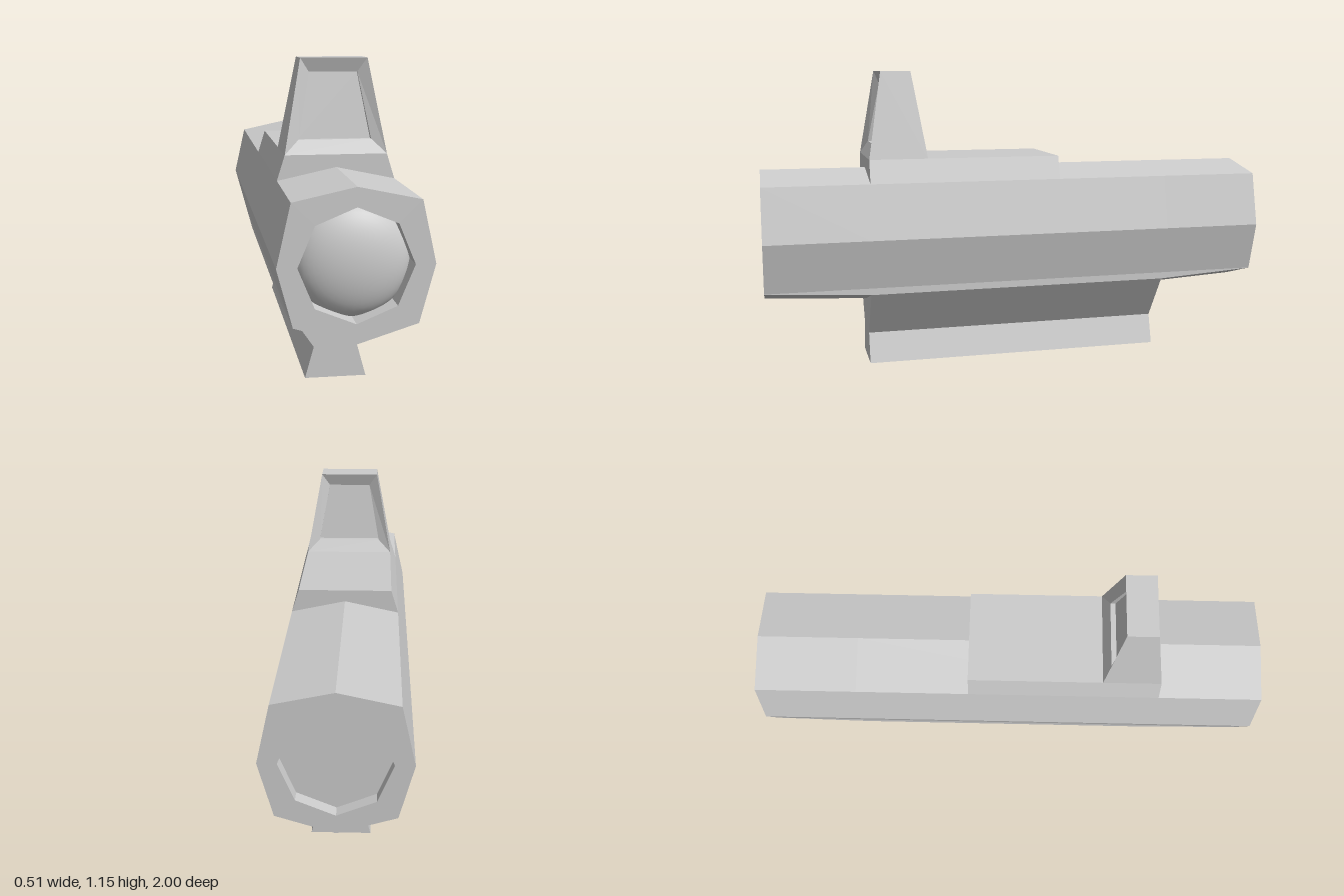
import * as THREE from 'three';

const grey = new THREE.MeshStandardMaterial({ color: 0xcccccc, flatShading: true });
const greyDouble = new THREE.MeshStandardMaterial({ color: 0xcccccc, flatShading: true, side: THREE.DoubleSide });
const greySmooth = new THREE.MeshStandardMaterial({ color: 0xcccccc });

const AXIS_Y = 0.52; // height of the tube's axis
const BORE = 0.19;   // radius of the octagonal end recesses

function part(group, name, geometry, material = grey) {
  const mesh = new THREE.Mesh(geometry, material);
  mesh.name = name;
  group.add(mesh);
  return mesh;
}

// Skins rings of points (counter-clockwise seen from +z), optionally capping both ends.
function loft(rings, capped) {
  const pos = [];
  const tri = (a, b, c) => pos.push(...a, ...b, ...c);
  const n = rings[0].length;
  for (let i = 0; i < rings.length - 1; i++) {
    for (let j = 0; j < n; j++) {
      const k = (j + 1) % n;
      const a = rings[i][j], b = rings[i][k], c = rings[i + 1][k], d = rings[i + 1][j];
      tri(a, b, c);
      tri(a, c, d);
    }
  }
  if (capped) {
    const first = rings[0], last = rings[rings.length - 1];
    for (let j = 1; j < n - 1; j++) {
      tri(first[0], first[j + 1], first[j]);
      tri(last[0], last[j], last[j + 1]);
    }
  }
  const g = new THREE.BufferGeometry();
  g.setAttribute('position', new THREE.Float32BufferAttribute(pos, 3));
  g.computeVertexNormals();
  return g;
}

// Mirrored outline from its right half, listed bottom to top.
function mirrored(half) {
  const left = half.filter(([x]) => x > 0).reverse().map(([x, y]) => [-x, y]);
  return [...half, ...left];
}

const toShape = (pts) => new THREE.Shape(pts.map(([x, y]) => new THREE.Vector2(x, y)));

// Straight bar with a mirrored cross-section between two depths.
function bar(half, z0, z1) {
  const g = new THREE.ExtrudeGeometry(toShape(mirrored(half)), { depth: z1 - z0, bevelEnabled: false });
  return g.translate(0, 0, z0);
}

// Tube cross-section; keel and chine are the heights of its lower edges.
const tubeOutline = (keel, chine) => mirrored([
  [0, keel], [0.205, chine], [0.205, 0.326], [0.257, AXIS_Y], [0.21, 0.73], [0, 0.775],
]);

function buildTube(group) {
  const stations = [[-1, 0.262, 0.325], [-0.6, 0.24, 0.3], [0.6, 0.24, 0.3], [1, 0.262, 0.325]];
  const rings = stations.map(([z, keel, chine]) => tubeOutline(keel, chine).map(([x, y]) => [x, y, z]));
  part(group, 'tubeBody', loft(rings, false));

  // End faces with octagonal openings and recess walls
  for (const [name, side, depth] of [['front', 1, 0.09], ['rear', -1, 0.05]]) {
    const face = toShape(tubeOutline(0.262, 0.325));
    const hole = new THREE.Path();
    for (let i = 0; i < 8; i++) {
      const a = -i * Math.PI / 4;
      const x = BORE * Math.cos(a), y = AXIS_Y + BORE * Math.sin(a);
      if (i === 0) hole.moveTo(x, y);
      else hole.lineTo(x, y);
    }
    hole.closePath();
    face.holes.push(hole);
    const rim = part(group, name + 'Rim', new THREE.ShapeGeometry(face), greyDouble);
    rim.position.z = side;
    if (side < 0) rim.rotation.y = Math.PI;

    const wall = new THREE.CylinderGeometry(BORE, BORE, depth, 8, 1, true).rotateX(Math.PI / 2);
    part(group, name + 'RecessWall', wall, greyDouble).position.set(0, AXIS_Y, side * (1 - depth / 2));
  }

  // Domed front lens and flat rear lens
  const dome = new THREE.SphereGeometry(BORE, 32, 12, 0, Math.PI * 2, 0, Math.PI / 2).rotateX(Math.PI / 2);
  dome.scale(1, 1, 0.45);
  part(group, 'frontLens', dome, greySmooth).position.set(0, AXIS_Y, 0.91);
  const rear = new THREE.CircleGeometry(BORE, 8).rotateY(Math.PI);
  part(group, 'rearLens', rear).position.set(0, AXIS_Y, -0.95);
}

// Upright frame: tapered outside, bevelled inwards to a panel on front and back
function buildSight(group) {
  const mid = 0.482;
  // Half widths, heights and half depths at the bottom and top of a ring
  const ring = (side, wBottom, yBottom, dBottom, wTop, yTop, dTop) => {
    const zb = mid + side * dBottom, zt = mid + side * dTop;
    return [[-wBottom, yBottom, zb], [wBottom, yBottom, zb], [wTop, yTop, zt], [-wTop, yTop, zt]];
  };
  const panel = [0.13, 0.87, 0.065, 0.087, 1.105, 0.03];
  const bevel = [0.13, 0.87, 0.085, 0.087, 1.105, 0.04];
  const outer = [0.182, 0.82, 0.113, 0.12, 1.155, 0.058];
  const rings = [
    ring(-1, ...panel), ring(-1, ...bevel), ring(-1, ...outer),
    ring(1, ...outer), ring(1, ...bevel), ring(1, ...panel),
  ];
  part(group, 'sightFrame', loft(rings, true));
}

export function createModel() {
  const group = new THREE.Group();
  group.name = 'opticalSight';
  buildTube(group);
  // Flared rail mount below and raised deck above
  part(group, 'railMount', bar([[0.112, 0], [0.08, 0.117], [0.205, 0.3]], -0.6, 0.6));
  part(group, 'topDeck', bar([[0.21, 0.73], [0.182, 0.82]], -0.155, 0.595));
  buildSight(group);
  return group;
}
